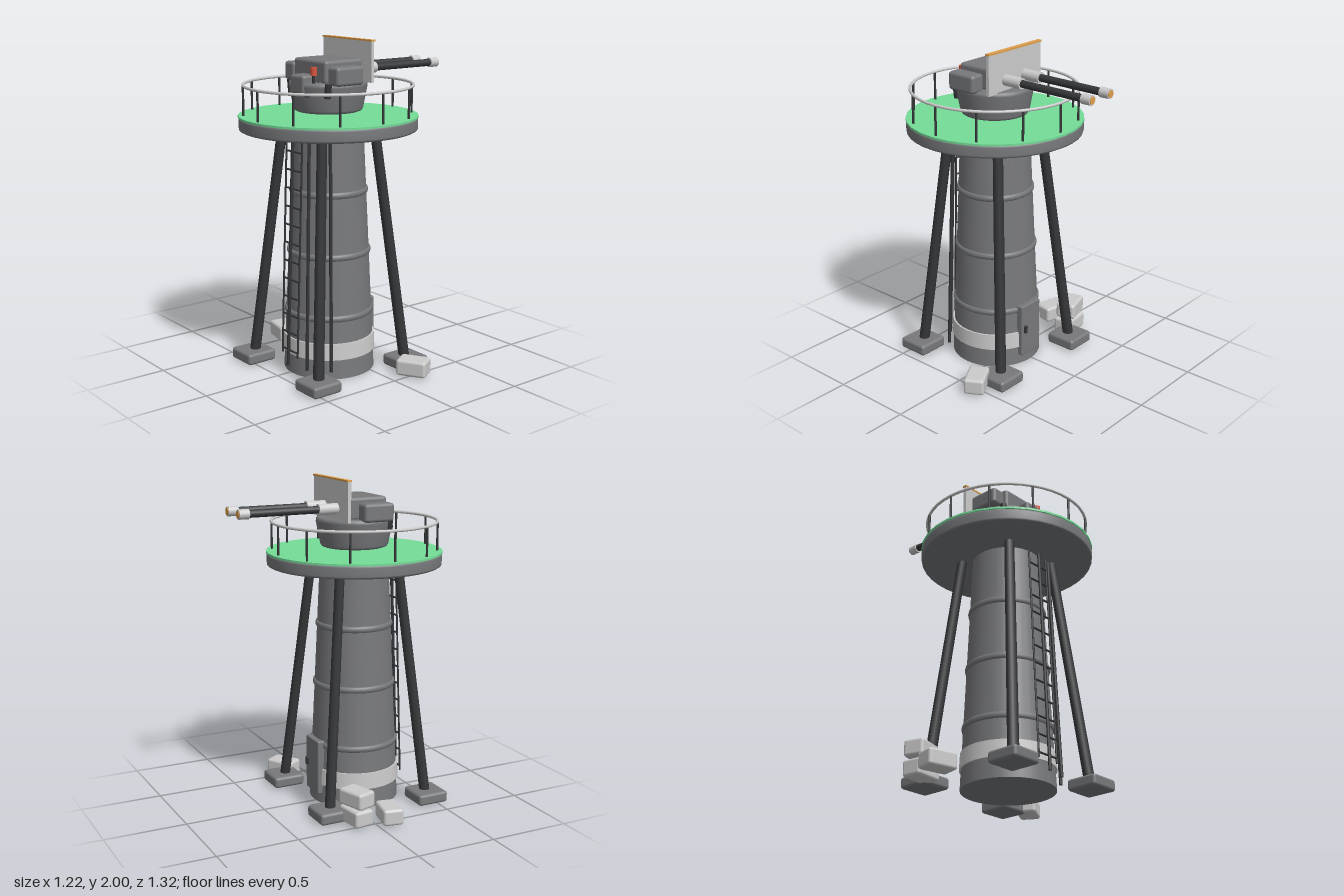
import * as THREE from 'three';
import { RoundedBoxGeometry } from 'three/addons/geometries/RoundedBoxGeometry.js';

const CX = 0.022, CZ = 0.125; // tower axis

const mat = (color) => new THREE.MeshStandardMaterial({ color });
const LIGHT = mat(0xcccccc), STEEL = mat(0x78797c), DARK = mat(0x36373a);
const GREEN = mat(0x74dd98), ORANGE = mat(0xe0a04c), RED = mat(0xd8523c);
const V = (x, y, z) => new THREE.Vector3(x, y, z);

export function createModel() {
  const root = new THREE.Group();
  root.name = 'gunTower';

  const group = (name, parent = root) => {
    const g = new THREE.Group();
    g.name = name;
    parent.add(g);
    return g;
  };
  const add = (parent, name, geo, material, x = 0, y = 0, z = 0) => {
    const m = new THREE.Mesh(geo, material);
    m.name = name;
    m.position.set(x, y, z);
    parent.add(m);
    return m;
  };
  const rbox = (parent, name, material, w, h, d, x, y, z, r = 0.015) =>
    add(parent, name, new RoundedBoxGeometry(w, h, d, 2, r), material, x, y, z);
  // Round bar between two points
  const rod = (parent, name, material, a, b, r, sides = 10, r2 = r) => {
    const d = b.clone().sub(a);
    const m = add(parent, name, new THREE.CylinderGeometry(r2, r, d.length(), sides), material);
    m.position.copy(a).add(b).multiplyScalar(0.5);
    m.quaternion.setFromUnitVectors(V(0, 1, 0), d.normalize());
    return m;
  };
  const lathe = (parent, name, material, pts, sides = 32) =>
    add(parent, name, new THREE.LatheGeometry(pts.map((p) => new THREE.Vector2(...p)), sides), material);

  // Everything round is built about the tower axis
  const tower = group('tower');
  tower.position.set(CX, 0, CZ);
  const bodyRadius = (y) => 0.277 - (0.067 * y) / 1.47;
  add(tower, 'towerBody', new THREE.CylinderGeometry(0.21, 0.277, 1.47, 32), STEEL, 0, 0.735, 0);
  add(tower, 'baseBand', new THREE.CylinderGeometry(0.277, 0.282, 0.1, 32), LIGHT, 0, 0.17, 0);
  for (const y of [0.37, 0.74, 1.11]) {
    const hoop = add(tower, 'hoop', new THREE.TorusGeometry(bodyRadius(y), 0.011, 8, 32), STEEL, 0, y, 0);
    hoop.rotation.x = Math.PI / 2;
    hoop.scale.z = 1.8;
  }

  // Rear door
  rbox(tower, 'door', STEEL, 0.17, 0.34, 0.05, 0, 0.23, -0.265, 0.008);
  rbox(tower, 'doorHandle', DARK, 0.02, 0.05, 0.02, 0.055, 0.24, -0.295, 0.005);

  // Service pipes follow the taper of the tower
  for (const deg of [0, 27.5, 55]) {
    const a = THREE.MathUtils.degToRad(deg), s = Math.sin(a), c = Math.cos(a);
    rod(tower, 'pipe', DARK, V(0.31 * s, 0.06, 0.31 * c), V(0.26 * s, 1.44, 0.26 * c), 0.01, 8);
  }

  // Ladder
  const ladder = group('ladder', tower);
  const ladderZ = (y) => 0.3 - 0.036 * y;
  for (const x of [-0.077, 0.077])
    rod(ladder, 'ladderRail', DARK, V(x, 0.12, ladderZ(0.12)), V(x, 1.44, ladderZ(1.44)), 0.006, 8);
  for (let i = 0; i < 12; i++) {
    const y = 0.15 + i * 0.11;
    rod(ladder, 'rung', DARK, V(-0.08, y, ladderZ(y)), V(0.08, y, ladderZ(y)), 0.006, 8);
  }

  // Splayed legs on square pads
  for (const sx of [-1, 1])
    for (const sz of [-1, 1]) {
      const leg = group('leg', tower);
      rod(leg, 'strut', DARK, V(sx * 0.333, 0.02, sz * 0.333), V(sx * 0.195, 1.475, sz * 0.195), 0.033, 8, 0.03);
      rbox(leg, 'footPad', STEEL, 0.2, 0.07, 0.2, sx * 0.335, 0.042, sz * 0.335, 0.018);
    }

  // Platform deck with railing
  const deck = group('platform', tower);
  lathe(deck, 'platformSlab', STEEL, [[0, 1.47], [0.517, 1.47], [0.527, 1.475], [0.53, 1.485],
    [0.53, 1.535], [0.527, 1.545], [0.517, 1.55], [0, 1.55]], 40);
  add(deck, 'deckSurface', new THREE.CylinderGeometry(0.533, 0.533, 0.012, 32), GREEN, 0, 1.552, 0);
  add(deck, 'handrail', new THREE.TorusGeometry(0.5, 0.009, 8, 48), LIGHT, 0, 1.735, 0).rotation.x = Math.PI / 2;
  for (let i = 0; i < 12; i++) {
    const a = (i * Math.PI) / 6, x = 0.5 * Math.cos(a), z = 0.5 * Math.sin(a);
    rod(deck, 'railPost', DARK, V(x, 1.55, z), V(x, 1.735, z), 0.007, 8);
  }

  // Turret bowl
  const turret = group('turret');
  const bowl = lathe(turret, 'turretBowl', STEEL, [[0, 1.582], [0.185, 1.582], [0.198, 1.587], [0.206, 1.6],
    [0.232, 1.735], [0.23, 1.752], [0.218, 1.762], [0, 1.762]]);
  bowl.position.set(CX, 0, CZ);

  // Gun housing, side pods and rear console
  rbox(turret, 'gunHousing', STEEL, 0.31, 0.135, 0.275, CX, 1.822, 0.126, 0.02);
  for (const s of [-1, 1]) {
    rbox(turret, 'ammoPod', STEEL, 0.098, 0.11, 0.195, CX + s * 0.211, 1.805, 0.16, 0.02);
    rod(turret, 'podBracket', DARK, V(CX + s * 0.185, 1.76, 0.265), V(CX + s * 0.175, 1.68, 0.265), 0.02);
    // Bent grips beside the console
    const grip = new THREE.CatmullRomCurve3([V(CX + s * 0.1, 1.77, 0.25), V(CX + s * 0.1, 1.72, 0.31),
      V(CX + s * 0.085, 1.692, 0.335), V(CX + s * 0.05, 1.692, 0.335)]);
    add(turret, 'grip', new THREE.TubeGeometry(grip, 12, 0.01, 8), DARK);
  }
  rbox(turret, 'rearConsole', STEEL, 0.13, 0.11, 0.115, CX, 1.75, 0.298, 0.018);
  rod(turret, 'warningLamp', RED, V(0.115, 1.805, 0.3), V(0.115, 1.852, 0.3), 0.02, 16);
  rod(turret, 'lampStem', DARK, V(0.115, 1.75, 0.3), V(0.115, 1.806, 0.3), 0.01, 8);

  // Shield with coloured top edge
  add(turret, 'shield', new THREE.BoxGeometry(0.455, 0.24, 0.02), LIGHT, CX, 1.873, -0.024);
  add(turret, 'shieldTrim', new THREE.BoxGeometry(0.462, 0.01, 0.028), ORANGE, CX, 1.995, -0.025);

  // Twin guns pointing to the rear
  for (const s of [-1, 1]) {
    const gun = group('gun', turret), x = CX + s * 0.083, y = 1.823;
    rod(gun, 'barrelSleeve', LIGHT, V(x, y, -0.02), V(x, y, -0.158), 0.033, 20);
    rod(gun, 'barrel', DARK, V(x, y, -0.15), V(x, y, -0.6), 0.022, 16);
    rod(gun, 'muzzle', LIGHT, V(x, y, -0.593), V(x, y, -0.655), 0.03, 16, 0.029);
    rod(gun, 'muzzleTip', ORANGE, V(x, y, -0.65), V(x, y, -0.659), 0.022, 16);
  }

  // Crates on the ground: x, y, z, turn
  const crates = [[-0.455, 0.172, -0.1, 0.3], [-0.45, 0.06, -0.1, 0.12],
    [-0.51, 0.09 - 0.03, 0.09, -0.2], [0.503, 0.06, -0.145, 0.53]];
  for (const [x, y, z, turn] of crates)
    rbox(root, 'crate', LIGHT, 0.185, 0.1, 0.125, x, y, z, 0.018).rotation.y = turn;

  return root;
}
